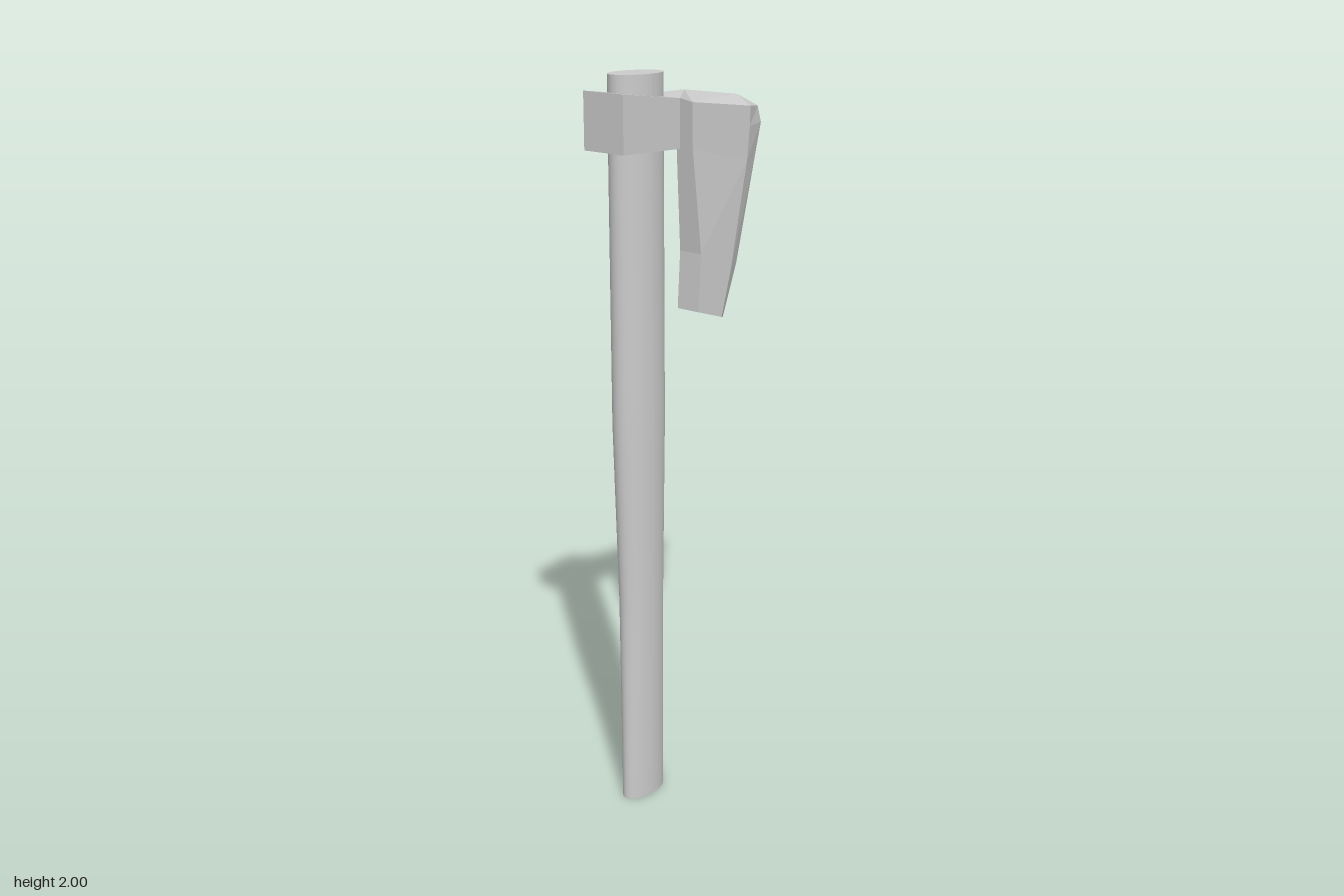
import * as THREE from 'three';

const grey = (opts = {}) => new THREE.MeshStandardMaterial({ color: 0xcccccc, ...opts });

// Convex panels on the +z half, wound counter-clockwise from outside, mirrored across z = 0
function mirroredPanels(panels) {
  const pos = [];
  for (const p of panels) {
    for (let i = 1; i < p.length - 1; i++) {
      const tri = [p[0], p[i], p[i + 1]];
      tri.forEach(v => pos.push(...v));
      [tri[0], tri[2], tri[1]].forEach(([x, y, z]) => pos.push(x, y, -z));
    }
  }
  const geo = new THREE.BufferGeometry();
  geo.setAttribute('position', new THREE.Float32BufferAttribute(pos, 3));
  geo.computeVertexNormals();
  return geo;
}

const mid = ([x, y]) => [x, y, 0];

// Oval shaft that narrows towards the foot
function createHandle() {
  const rings = [ // y, half width x, half depth z, centre x
    [0, 0.0725, 0.038, -0.187],
    [0.6, 0.0725, 0.046, -0.187],
    [1.1, 0.083, 0.054, -0.19],
    [2, 0.083, 0.055, -0.19],
  ];
  const geo = new THREE.CylinderGeometry(1, 1, 2, 40, 20);
  geo.translate(0, 1, 0);
  const p = geo.attributes.position;
  for (let i = 0; i < p.count; i++) {
    const y = p.getY(i);
    const k = Math.max(1, rings.findIndex(r => r[0] >= y - 1e-6));
    const a = rings[k - 1], b = rings[k];
    const t = (y - a[0]) / (b[0] - a[0]);
    const [, rx, rz, cx] = a.map((v, j) => THREE.MathUtils.lerp(v, b[j], t));
    p.setXYZ(i, cx + p.getX(i) * rx, y, p.getZ(i) * rz);
  }
  geo.computeVertexNormals();
  const mesh = new THREE.Mesh(geo, grey());
  mesh.name = 'handle';
  return mesh;
}

// Block around the shaft with a neck that tapers to the blade
function createSocket() {
  const stations = [ // x, bottom, top side, top ridge, half depth
    [-0.305, 1.815, 1.96, 1.96, 0.067],
    [-0.1, 1.81, 1.935, 1.935, 0.067],
    [-0.01, 1.795, 1.915, 1.945, 0.028],
  ].map(([x, bottom, top, ridge, z]) => [[x, bottom, 0], [x, bottom, z], [x, top, z], [x, ridge, 0]]);
  const panels = [[...stations[0]]];
  for (let s = 0; s < 2; s++) {
    const a = stations[s], b = stations[s + 1];
    for (let i = 0; i < 3; i++) panels.push([a[i], b[i], b[i + 1], a[i + 1]]);
  }
  const mesh = new THREE.Mesh(mirroredPanels(panels), grey({ flatShading: true }));
  mesh.name = 'socket';
  return mesh;
}

// Bearded blade: rows from top to bottom, each with back, bevel and cutting edge
function createBlade() {
  const rows = [
    [[-0.01, 1.915, 0.028], [0.212, 1.888, 0.037], [0.287, 1.88, 0]],
    [[-0.01, 1.855, 0.028], [0.21, 1.835, 0.037], [0.302, 1.835, 0]],
    [[-0.008, 1.795, 0.028], [0.2, 1.745, 0.037], [0.278, 1.745, 0]],
    [[0.015, 1.52, 0.037], [0.137, 1.46, 0.037], [0.203, 1.46, 0]],
    [[0.005, 1.365, 0.037], [0.1, 1.335, 0.037], [0.148, 1.32, 0]],
  ];
  const panels = [];
  for (let r = 0; r < rows.length - 1; r++) {
    const a = rows[r], b = rows[r + 1];
    for (let i = 0; i < 2; i++) panels.push([b[i], b[i + 1], a[i + 1], a[i]]);
    panels.push([mid(b[0]), b[0], a[0], mid(a[0])]); // back face
  }
  // Ridged top and flat underside
  const [back, bevel, tip] = rows[0];
  const ridgeBack = [-0.01, 1.945, 0], ridgeFront = [0.2, 1.917, 0];
  panels.push([back, bevel, ridgeFront, ridgeBack], [bevel, tip, ridgeFront]);
  const [lowBack, lowBevel, lowTip] = rows[4];
  panels.push([mid(lowBack), mid(lowBevel), lowBevel, lowBack], [mid(lowBevel), lowTip, lowBevel]);
  const mesh = new THREE.Mesh(mirroredPanels(panels), grey({ flatShading: true }));
  mesh.name = 'blade';
  return mesh;
}

export function createModel() {
  const axe = new THREE.Group();
  axe.name = 'axe';
  const head = new THREE.Group();
  head.name = 'head';
  head.add(createSocket(), createBlade());
  axe.add(createHandle(), head);
  return axe;
}
